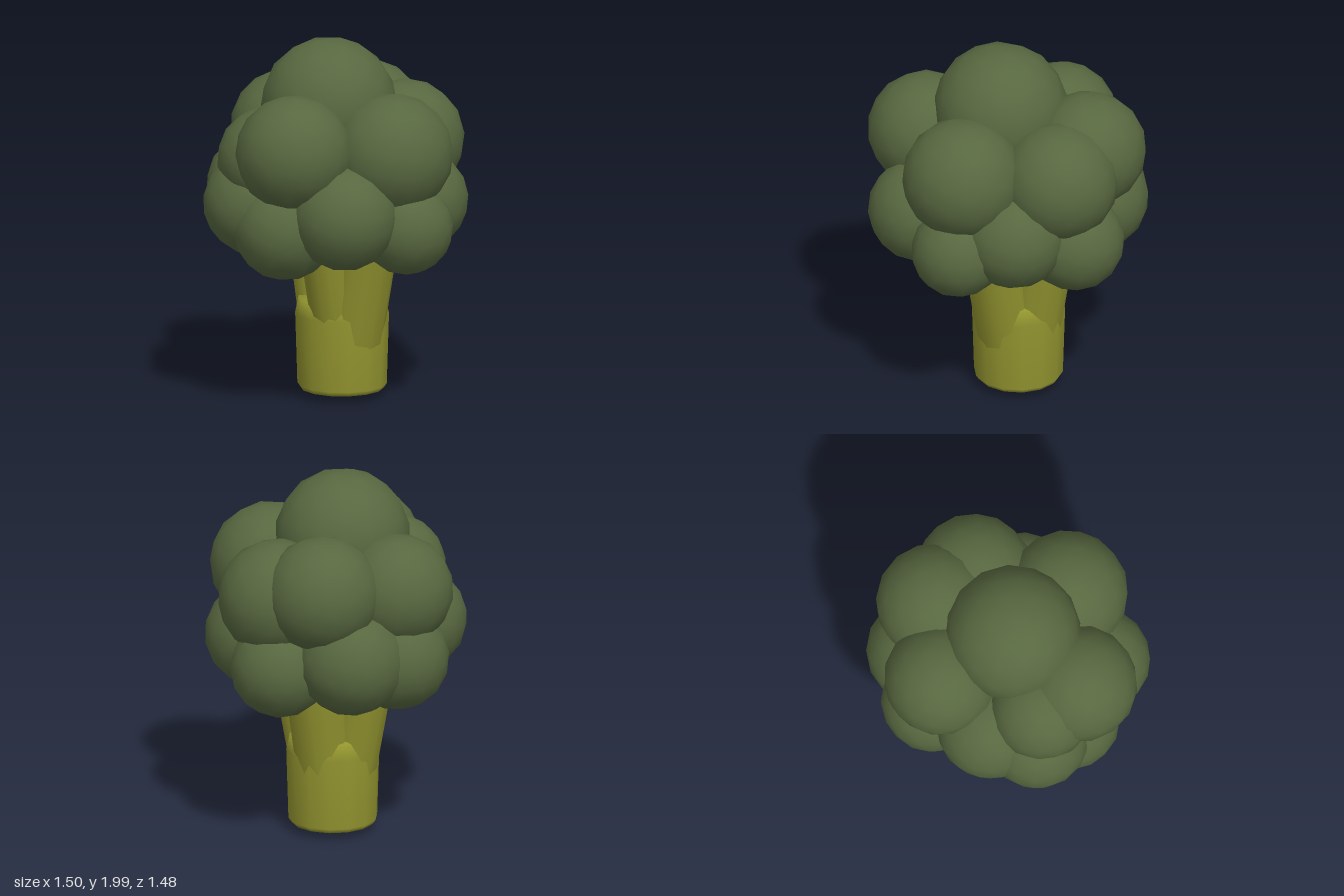
import * as THREE from 'three';

export function createModel() {
  const model = new THREE.Group();
  const floretGreen = new THREE.MeshStandardMaterial({ color: 0x586840 });
  floretGreen.name = 'floretGreen';
  const stalkGreen = new THREE.MeshStandardMaterial({ color: 0x91932f });
  stalkGreen.name = 'stalkGreen';

  const add = (name, geometry, material, parent = model) => {
    const mesh = new THREE.Mesh(geometry, material);
    mesh.name = name;
    parent.add(mesh);
    return mesh;
  };

  // Florets: x, y, z, radius
  const crown = [
    [-0.05, 1.635, 0.0, 0.368],
  ];
  const upperRing = [
    [0.08, 1.42, 0.41, 0.332],
    [-0.42, 1.45, 0.2, 0.318],
    [0.43, 1.39, 0.03, 0.323],
    [0.37, 1.46, -0.25, 0.318],
    [-0.02, 1.43, -0.43, 0.31],
    [-0.42, 1.38, -0.03, 0.285],
  ];
  const lowerRing = [
    [-0.24, 1.11, 0.415, 0.288],
    [0.12, 1.02, 0.485, 0.255],
    [0.33, 1.11, 0.27, 0.288],
    [0.48, 1.02, -0.04, 0.272],
    [0.28, 1.09, -0.38, 0.3],
    [0.01, 1.06, -0.46, 0.285],
    [-0.3, 1.17, -0.28, 0.298],
    [-0.47, 1.13, -0.09, 0.285],
    [-0.43, 1.02, 0.13, 0.28],
  ];
  const ball = new THREE.IcosahedronGeometry(1, 2);
  let turn = 0;
  const addFlorets = (name, list) => {
    const group = new THREE.Group();
    group.name = name;
    for (const [x, y, z, r] of list) {
      const floret = add('floret', ball, floretGreen, group);
      floret.position.set(x, y, z);
      floret.scale.setScalar(r);
      floret.rotation.set(0.2 * turn, 0.9 * turn, 0);
      turn++;
    }
    model.add(group);
  };
  addFlorets('crownFloret', crown);
  addFlorets('upperFlorets', upperRing);
  addFlorets('lowerFlorets', lowerRing);

  // Hidden core that closes the gaps between the florets
  const core = add('floretCore', ball, floretGreen);
  core.position.set(0, 1.22, 0);
  core.scale.set(0.42, 0.32, 0.4);

  // Main stalk with a shallow rounded foot and a sloping shoulder
  const profile = [[0, 0.005], [0.13, 0.025], [0.225, 0.045], [0.242, 0.07], [0.254, 0.46], [0.235, 0.55], [0, 0.62]]
    .map(([r, y]) => new THREE.Vector2(r, y));
  const stalk = add('stalk', new THREE.LatheGeometry(profile, 14), stalkGreen);
  stalk.position.set(0.058, 0, -0.03);

  // Branches growing out of the stalk: start, end, start radius, end radius
  const branches = {
    frontBranch: [[0.06, 0.2, 0.02], [0.08, 1.0, 0.22], 0.17, 0.16],
    leftwardBranch: [[0.0, 0.3, 0.02], [-0.17, 1.0, 0.09], 0.13, 0.13],
    sideBranch: [[0.13, 0.32, -0.05], [0.25, 1.0, -0.06], 0.16, 0.17],
    backBranch: [[0.03, 0.3, -0.11], [0.01, 1.0, -0.28], 0.15, 0.13],
    middleBranch: [[0.04, 0.3, -0.03], [0.0, 1.0, 0.0], 0.14, 0.14],
  };
  const up = new THREE.Vector3(0, 1, 0);
  for (const [name, [a, b, r0, r1]] of Object.entries(branches)) {
    const from = new THREE.Vector3(...a);
    const to = new THREE.Vector3(...b);
    const dir = to.clone().sub(from);
    const branch = add(name, new THREE.CylinderGeometry(r1, r0, dir.length(), 12), stalkGreen);
    branch.position.copy(from).add(to).multiplyScalar(0.5);
    branch.quaternion.setFromUnitVectors(up, dir.normalize());
  }
  return model;
}
